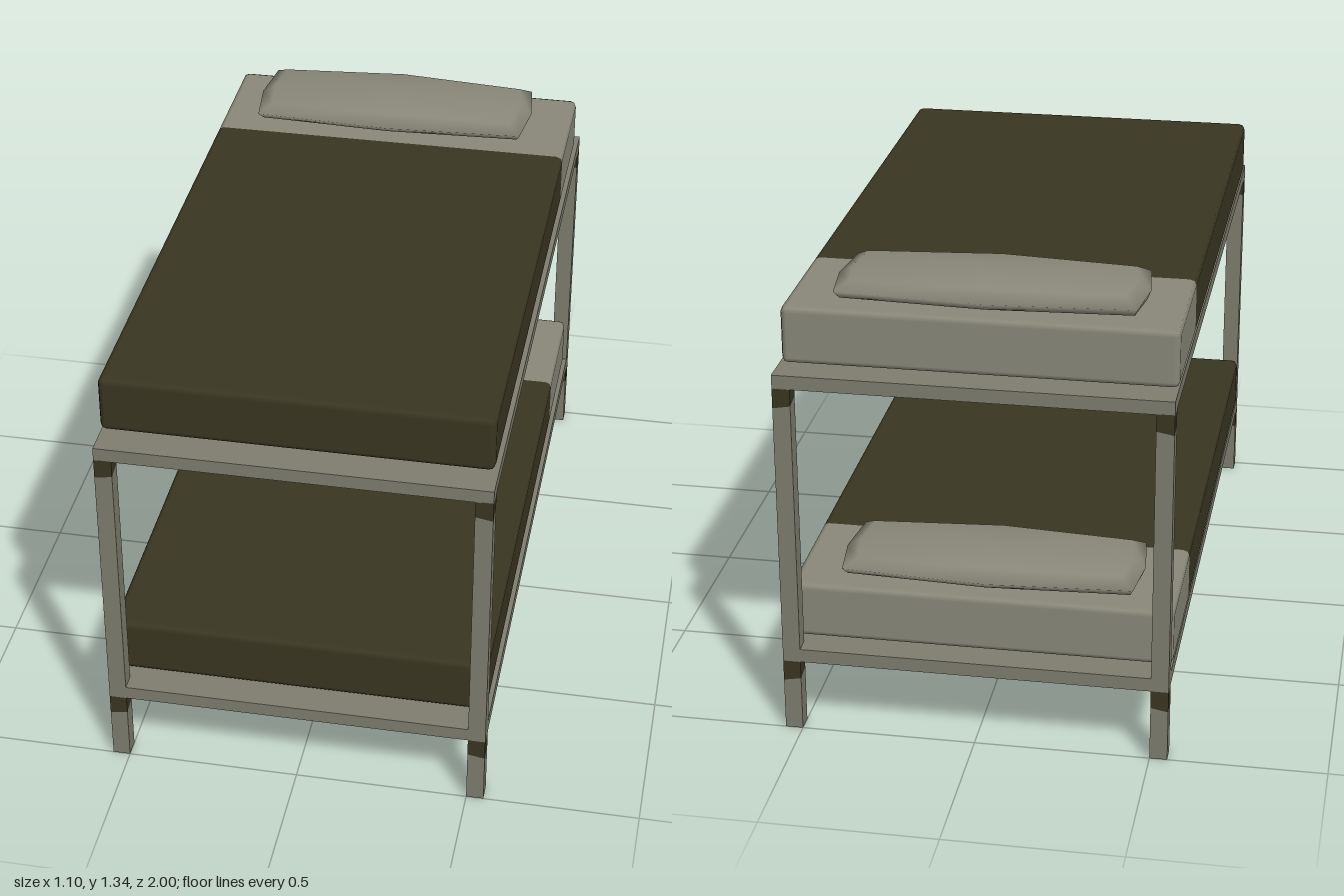
import * as THREE from 'three';
import { mergeVertices } from 'three/addons/utils/BufferGeometryUtils.js';
import { RoundedBoxGeometry } from 'three/addons/geometries/RoundedBoxGeometry.js';

const material = (name, color) => {
  const m = new THREE.MeshStandardMaterial({ color });
  m.name = name;
  return m;
};

function addMesh(parent, name, geometry, mat) {
  const mesh = new THREE.Mesh(geometry, mat);
  mesh.name = name;
  parent.add(mesh);
  return mesh;
}

// Leg piece between two heights; a slanted end rises towards the inside of the bed
function legPiece(sx, sz, y0, y1, slant0, slant1) {
  const g = new THREE.BoxGeometry(0.05, y1 - y0, 0.05);
  const p = g.attributes.position;
  for (let i = 0; i < p.count; i++) {
    const slant = p.getY(i) < 0 ? slant0 : slant1;
    const inward = (p.getX(i) * sx < 0 ? 0.5 : 0) + (p.getZ(i) * sz < 0 ? 0.5 : 0);
    p.setY(i, p.getY(i) + slant * inward);
  }
  g.computeVertexNormals();
  return g.translate(sx * 0.525, (y0 + y1) / 2, sz * 0.975);
}

// One end of a rounded mattress, cut square at the plane z = cut
function mattressEnd(end, cut) {
  const r = 0.018, dir = Math.sign(end - cut);
  const back = cut - dir * r;
  const g = new RoundedBoxGeometry(1.092, 0.167, Math.abs(end - back), 1, r);
  g.translate(-0.006, 0.1835 - 0.095, (end + back) / 2);
  const p = g.attributes.position;
  for (let i = 0; i < p.count; i++) {
    if ((p.getZ(i) - cut) * dir < 0) p.setZ(i, cut);
  }
  return g;
}

// Soft pillow lofted from scaled copies of one outline
function pillowGeometry() {
  const outline = [
    [-0.415, -0.15], [0, -0.178], [0.415, -0.15], [0.433, 0],
    [0.415, 0.155], [0, 0.178], [-0.415, 0.155], [-0.433, 0],
  ];
  // height, x scale, z scale
  const rings = [
    [0, 0, 0], [0, 0.975, 0.82], [0.026, 1, 1], [0.049, 0.91, 0.78], [0.066, 0, 0],
  ];
  const n = outline.length, pos = [], index = [];
  rings.forEach(([y, kx, kz], r) => outline.forEach(([x, z], i) => {
    // the crown rises towards the middle
    const lift = r === 3 && x === 0 ? 0.007 : 0;
    pos.push(x * kx, y + lift, z * kz);
    if (r === rings.length - 1) return;
    const a = r * n + i, a1 = r * n + (i + 1) % n;
    if (r > 0) index.push(a, a + n, a1);
    if (r < rings.length - 2) index.push(a1, a + n, a1 + n);
  }));
  let g = new THREE.BufferGeometry();
  g.setAttribute('position', new THREE.Float32BufferAttribute(pos, 3));
  g.setIndex(index);
  g = mergeVertices(g);
  g.computeVertexNormals();
  return g;
}

export function createModel() {
  const metal = material('frame grey', 0x7e7d6e);
  const linen = material('linen grey', 0x898879);
  const olive = material('dark olive', 0x393622);

  const model = new THREE.Group();
  model.name = 'bunkBed';

  // Four legs with dark collars under each bed frame
  for (const sx of [-1, 1]) for (const sz of [-1, 1]) {
    const leg = new THREE.Group();
    leg.name = 'leg';
    const s = 0.018;
    addMesh(leg, 'foot', legPiece(sx, sz, 0, 0.153, 0, s), metal);
    addMesh(leg, 'lowerCollar', legPiece(sx, sz, 0.153, 0.215, s, 0), olive);
    addMesh(leg, 'post', legPiece(sx, sz, 0.25, 0.997, 0, s), metal);
    addMesh(leg, 'upperCollar', legPiece(sx, sz, 0.997, 1.057, s, 0), olive);
    model.add(leg);
  }

  // Two identical bunks
  [['lowerBunk', 0.215], ['upperBunk', 1.055]].forEach(([name, y]) => {
    const bunk = new THREE.Group();
    bunk.name = name;
    bunk.position.y = y;
    model.add(bunk);

    addMesh(bunk, 'bedFrame', new THREE.BoxGeometry(1.1, 0.04, 2), metal).position.y = 0.02;
    addMesh(bunk, 'underPanel', new THREE.BoxGeometry(0.99, 0.004, 1.89), olive);

    // Blanket covers the foot end, bare sheet at the head end
    const bedding = new THREE.Group();
    bedding.name = 'mattress';
    bedding.position.y = 0.04;
    addMesh(bedding, 'blanket', mattressEnd(0.92, -0.54), olive);
    addMesh(bedding, 'sheet', mattressEnd(-0.93, -0.54), linen);
    bunk.add(bedding);

    addMesh(bunk, 'pillow', pillowGeometry(), linen).position.set(-0.016, 0.222, -0.737);
  });

  return model;
}
